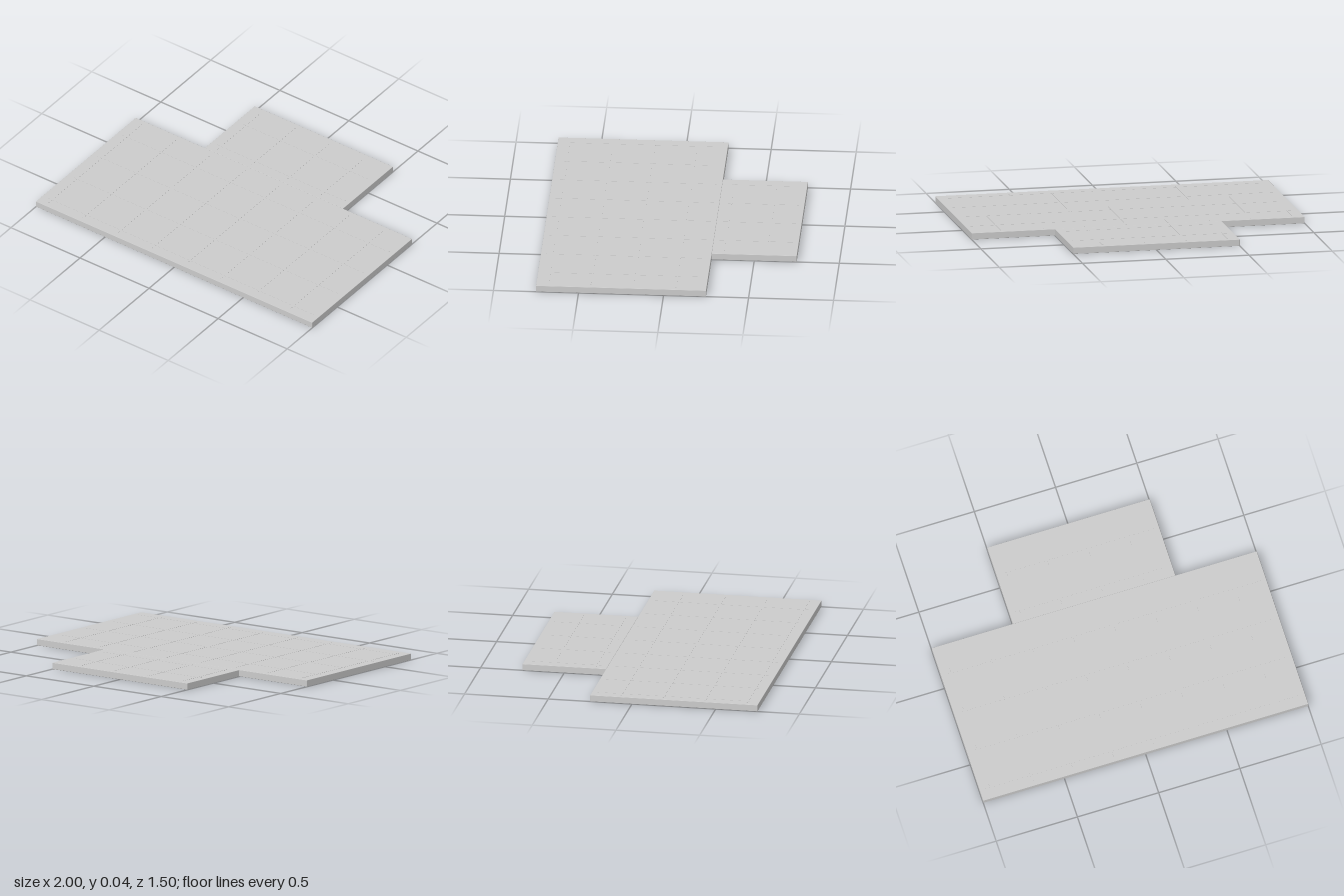
import * as THREE from 'three';
import { RoundedBoxGeometry } from 'three/addons/geometries/RoundedBoxGeometry.js';

const SLAB_H = 0.039, TOP = 0.04, STEP = 0.25, JOINT = 0.007, MARGIN = 0.033;

export function createModel() {
  const model = new THREE.Group();
  model.name = 'tiledPlatform';
  const material = new THREE.MeshStandardMaterial({ color: 0xcccccc });

  function addBox(parent, name, geometry, x, y, z) {
    const mesh = new THREE.Mesh(geometry, material);
    mesh.name = name;
    mesh.position.set(x, y, z);
    parent.add(mesh);
  }

  // A slab with fine edge bevels and a grid of thin raised joint strips on top
  function addSection(name, x0, x1, z0, z1) {
    const section = new THREE.Group();
    section.name = name;
    const w = x1 - x0, d = z1 - z0, cx = (x0 + x1) / 2, cz = (z0 + z1) / 2;
    addBox(section, 'slab', new RoundedBoxGeometry(w, SLAB_H, d, 1, 0.002), cx, SLAB_H / 2, cz);

    // Strips start deep enough in the slab to leave no gap
    const h = 0.004, y = TOP - h / 2;
    const lengthwise = new THREE.BoxGeometry(JOINT, h, d - 2 * MARGIN);
    const crosswise = new THREE.BoxGeometry(w - 2 * MARGIN, h, JOINT);
    for (let x = x0 + 0.065; x < x1 - MARGIN; x += STEP) addBox(section, 'lengthwiseJoint', lengthwise, x, y, cz);
    for (let z = z0 + 0.18; z < z1 - MARGIN; z += STEP) addBox(section, 'crosswiseJoint', crosswise, cx, y, z);
    model.add(section);
  }

  addSection('mainFloor', -1, 1, -0.25, 0.75);
  addSection('rearFloor', -0.5, 0.5, -0.75, -0.25);
  return model;
}
